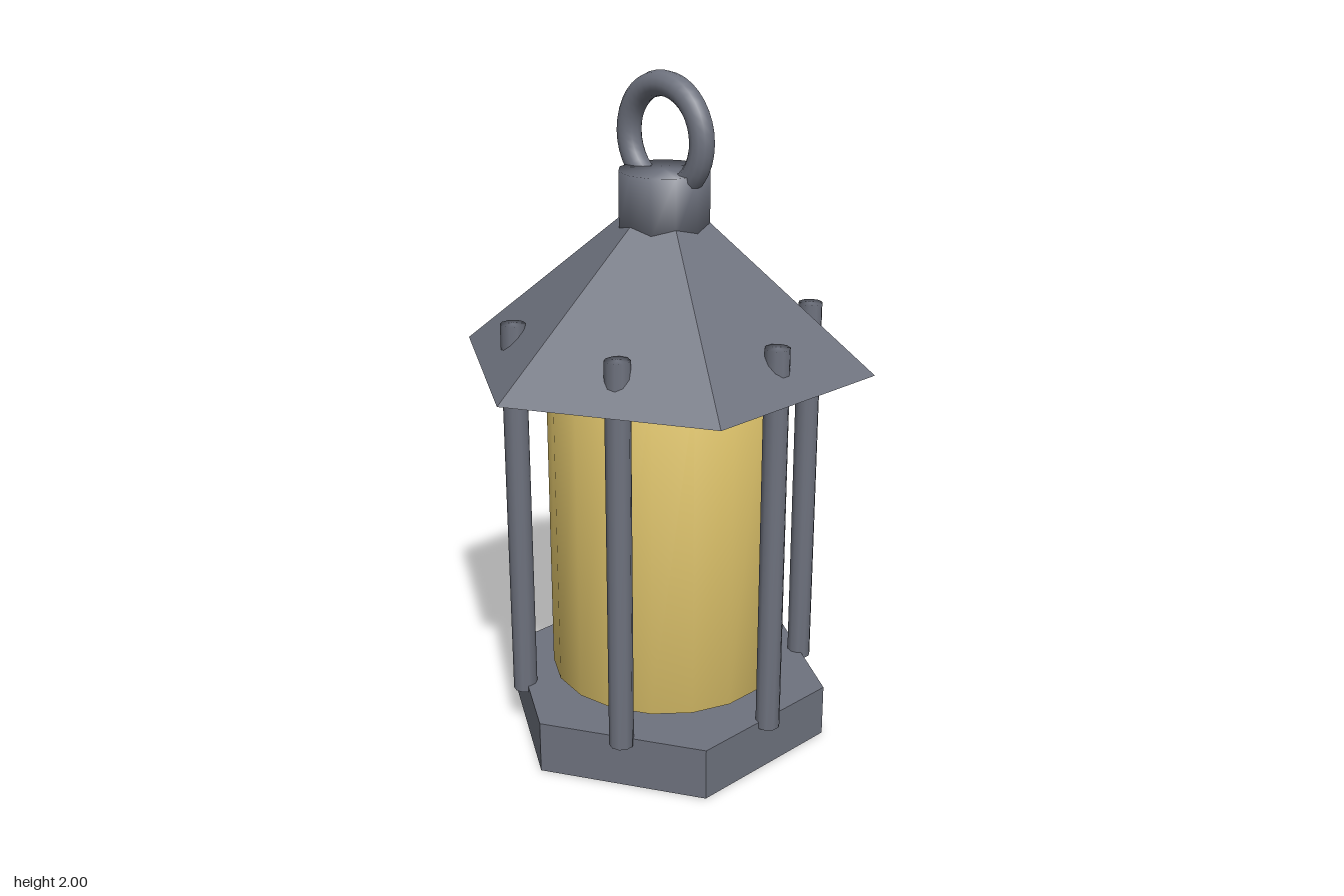
import * as THREE from 'three';
import { mergeVertices } from 'three/addons/utils/BufferGeometryUtils.js';

const metal = new THREE.MeshStandardMaterial({ color: 0x6e727e });
metal.name = 'slate metal';
const amber = new THREE.MeshStandardMaterial({ color: 0xe0c56c });
amber.name = 'amber glass';

// Crisp facets
function faceted(geometry) {
  const g = geometry.toNonIndexed();
  g.computeVertexNormals();
  return g;
}

// Normals blended over every edge, including the end caps
function softened(geometry) {
  geometry.deleteAttribute('normal');
  geometry.deleteAttribute('uv');
  const g = mergeVertices(geometry, 1e-4);
  g.computeVertexNormals();
  return g;
}

// Upright cylinder or cone between two heights
function column(rTop, rBottom, y0, y1, sides) {
  return new THREE.CylinderGeometry(rTop, rBottom, y1 - y0, sides).translate(0, (y0 + y1) / 2, 0);
}

export function createModel() {
  const lantern = new THREE.Group();
  lantern.name = 'lantern';

  function add(name, geometry, material) {
    const mesh = new THREE.Mesh(geometry, material);
    mesh.name = name;
    lantern.add(mesh);
    return mesh;
  }

  // Hexagonal base and roof, corners towards front and back
  add('base', faceted(column(0.505, 0.505, 0, 0.16, 6)), metal);
  add('roof', faceted(new THREE.ConeGeometry(0.614, 0.515, 6).translate(0, 1.18 + 0.2575, 0)), metal);

  // Glass cylinder, just clear of the base
  add('glass', softened(column(0.346, 0.346, 0.19, 1.19, 18)), amber);

  // Six posts that pierce the roof
  const postGeometry = softened(column(0.036, 0.036, 0.14, 1.31, 10));
  for (let i = 0; i < 6; i++) {
    const a = (i * Math.PI) / 3;
    const post = add('post' + (i + 1), postGeometry, metal);
    post.position.set(0.44 * Math.cos(a), 0, 0.44 * Math.sin(a));
  }

  // Cap over the roof peak and the hanging ring
  add('cap', softened(column(0.132, 0.132, 1.56, 1.727, 12)), metal);
  add('ring', new THREE.TorusGeometry(0.146, 0.036, 12, 36).translate(0, 1.818, 0), metal);

  return lantern;
}
